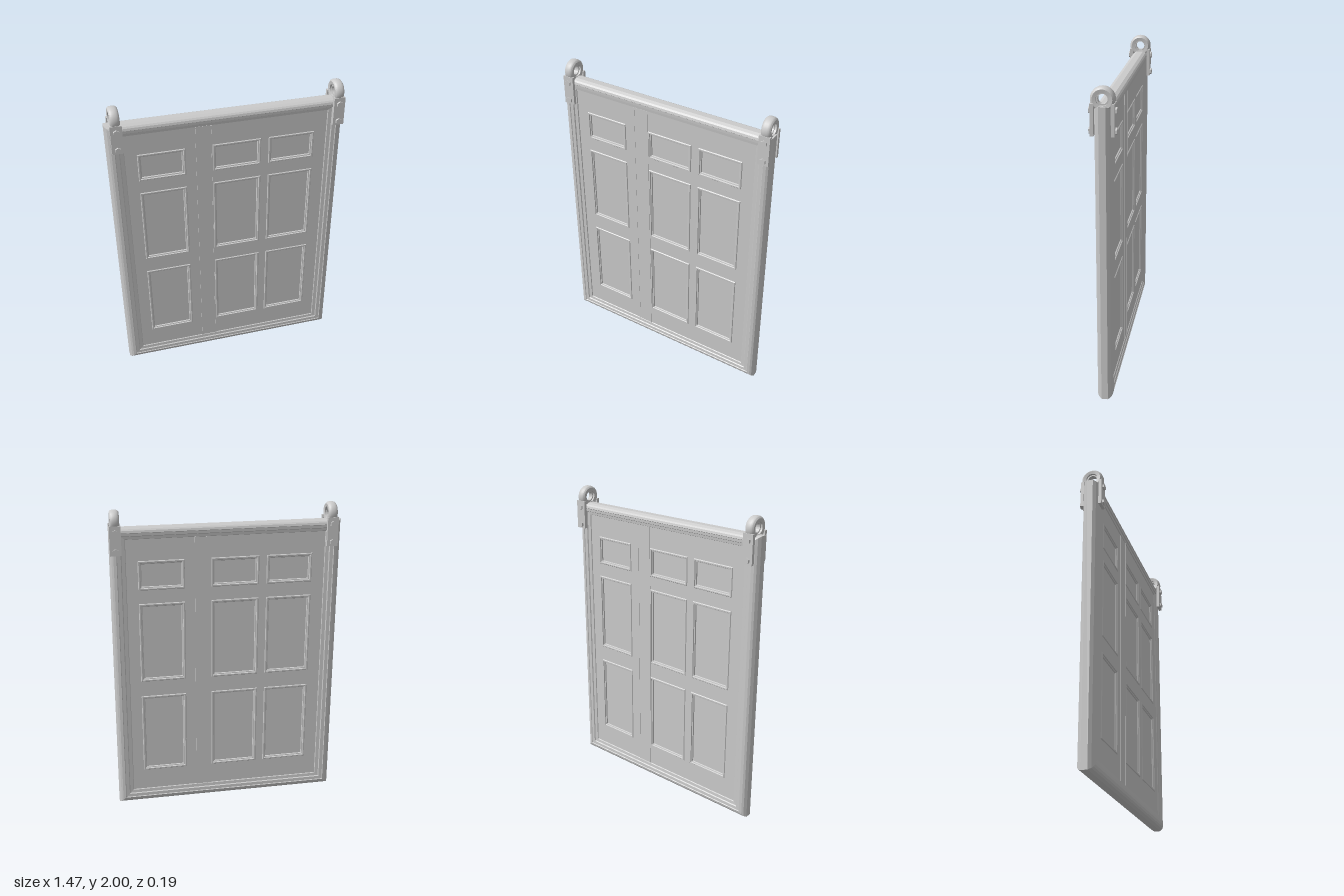
import * as THREE from 'three';
import { toCreasedNormals } from 'three/addons/utils/BufferGeometryUtils.js';

const flat = new THREE.MeshStandardMaterial({ color: 0xcccccc, flatShading: true });
const smooth = new THREE.MeshStandardMaterial({ color: 0xcccccc });

// The door hangs slightly askew: small sag in y, twist in z, lean in x
const skew = new THREE.Matrix4().set(
  1, -0.006, 0, 0.005,
  -0.0125, 1, 0, 0,
  0.022, 0, 1, -0.003,
  0, 0, 0, 1);

function mesh(parent, name, geometry, material = flat) {
  const m = new THREE.Mesh(geometry, material);
  m.name = name;
  parent.add(m);
  return m;
}

function box(x0, x1, y0, y1, z0, z1) {
  return new THREE.BoxGeometry(x1 - x0, y1 - y0, z1 - z0)
    .translate((x0 + x1) / 2, (y0 + y1) / 2, (z0 + z1) / 2);
}

// Mitred rectangular moulding: profile of [inset, z] pairs swept round four corners
function moulding([x0, x1, y0, y1], profile, sideScale = 1, bottomScale = 1, topScale = 1) {
  const corner = ([d, z], i) => [
    i === 0 || i === 3 ? x0 + d * sideScale : x1 - d * sideScale,
    i < 2 ? y0 + d * bottomScale : y1 - d * topScale, z];
  const v = [];
  for (let p = 0; p < profile.length - 1; p++) {
    for (let i = 0; i < 4; i++) {
      const j = (i + 1) % 4;
      const a = corner(profile[p], i), b = corner(profile[p], j);
      const c = corner(profile[p + 1], j), d = corner(profile[p + 1], i);
      v.push(...a, ...b, ...c, ...a, ...c, ...d);
    }
  }
  const g = new THREE.BufferGeometry();
  g.setAttribute('position', new THREE.Float32BufferAttribute(v, 3));
  g.computeVertexNormals();
  return g;
}

function rectangle(Type, [x0, x1, y0, y1]) {
  return new Type([[x0, y0], [x1, y0], [x1, y1], [x0, y1]].map(([x, y]) => new THREE.Vector2(x, y)));
}

// One panelled face of the door, built facing +z
function doorFace(name) {
  const face = new THREE.Group();
  face.name = name;
  const columns = [[-0.56, -0.267], [-0.1, 0.209], [0.257, 0.553]];
  const rows = [[0.24, 0.776], [0.878, 1.4], [1.487, 1.674]];
  const openings = columns.flatMap(c => rows.map(r => [...c, ...r]));

  const outline = rectangle(THREE.Shape, [-0.64, 0.64, 0.09, 1.82]);
  outline.holes = openings.map(o => rectangle(THREE.Path, o));
  mesh(face, 'railsAndStiles',
    new THREE.ExtrudeGeometry(outline, { depth: 0.013, bevelEnabled: false }).translate(0, 0, 0.019));

  const rim = [[0, 0.032], [0.004, 0.037], [0.011, 0.037], [0.014, 0.031], [0.02, 0.03], [0.024, 0.02]];
  for (const o of openings) mesh(face, 'panelMoulding', moulding(o, rim));

  // Meeting stile between the two leaves, with narrow beads
  mesh(face, 'meetingStile', box(-0.197, -0.104, 0.1, 1.81, 0.02, 0.034));
  for (const x of [-0.2, -0.103]) mesh(face, 'stileBead', box(x - 0.003, x + 0.003, 0.1, 1.81, 0.02, 0.036));
  return face;
}

// Hanger: strap ring over the top edge, two bolted plates
function hanger(x) {
  const group = new THREE.Group();
  group.name = 'hanger';
  const ringY = 1.922;
  const lathe = pts => toCreasedNormals(
    new THREE.LatheGeometry(pts.map(([r, y]) => new THREE.Vector2(r, y)), 32)
      .rotateZ(Math.PI / 2).translate(x, ringY, 0), 0.6);
  mesh(group, 'roller', lathe([
    [0.036, -0.026], [0.056, -0.029], [0.065, -0.022], [0.069, -0.01], [0.069, 0.01],
    [0.065, 0.022], [0.056, 0.029], [0.036, 0.026], [0.036, -0.026]]), smooth);
  mesh(group, 'rollerInnerRing', lathe([
    [0.028, -0.014], [0.037, -0.014], [0.037, 0.014], [0.028, 0.014], [0.028, -0.014]]), smooth);
  for (const s of [-1, 1]) {
    mesh(group, 'hangerPlate', box(x - 0.035, x + 0.035, 1.718, 1.9, s * 0.058 - 0.01, s * 0.058 + 0.01));
    for (const y of [1.743, 1.858]) {
      mesh(group, 'bolt', new THREE.CylinderGeometry(0.02, 0.02, 0.012, 6)
        .rotateX(Math.PI / 2).translate(x, y, s * 0.073));
    }
  }
  return group;
}

export function createModel() {
  const model = new THREE.Group();
  model.name = 'slidingDoor';

  // Outer frame, chamfered at the edge and stepped down toward the leaves
  const half = [[0, 0.02], [0.012, 0.038], [0.024, 0.046], [0.042, 0.05], [0.046, 0.046],
    [0.068, 0.045], [0.073, 0.039], [0.095, 0.037], [0.1, 0.03]];
  const section = [...half.map(([d, z]) => [d, -z]).reverse(), ...half];
  mesh(model, 'outerFrame', moulding([-0.732, 0.73, 0.013, 1.884], section, 1, 0.9, 0.75));

  // Solid core carrying the recessed panels
  mesh(model, 'panelCore', box(-0.64, 0.64, 0.09, 1.82, -0.023, 0.023));

  const back = doorFace('backFace');
  back.rotation.y = Math.PI;
  model.add(doorFace('frontFace'), back);
  model.add(hanger(-0.671), hanger(0.692));

  // Bake the sag into every part
  model.updateMatrixWorld(true);
  model.traverse(o => {
    if (o.isMesh) o.geometry.applyMatrix4(o.matrixWorld).applyMatrix4(skew);
  });
  back.rotation.y = 0;
  model.updateMatrixWorld(true);
  return model;
}
